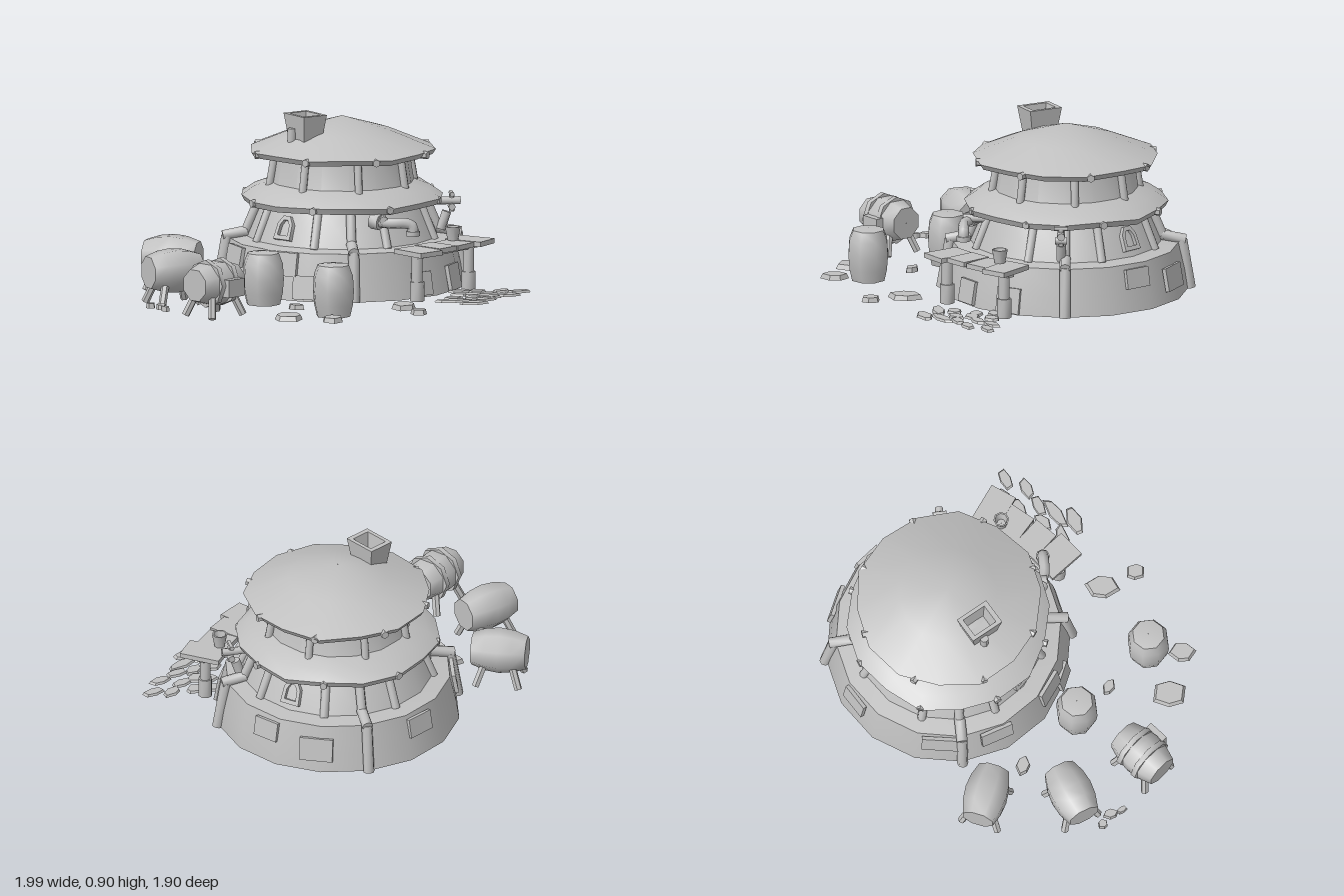
import * as THREE from 'three';
import { toCreasedNormals } from 'three/addons/utils/BufferGeometryUtils.js';

const stone = new THREE.MeshStandardMaterial({ color: 0xc0c0c0, side: THREE.DoubleSide });
stone.name = 'plain grey';
const V = (x, y, z) => new THREE.Vector3(x, y, z);

function add(parent, name, geo, crease = 0.6) {
  const m = new THREE.Mesh(toCreasedNormals(geo, crease), stone);
  m.name = name;
  parent.add(m);
  return m;
}
function group(parent, name, x = 0, y = 0, z = 0, turn = 0) {
  const g = new THREE.Group();
  g.name = name;
  g.position.set(x, y, z);
  g.rotation.y = turn;
  parent.add(g);
  return g;
}
// round bar between two points
function rod(parent, name, a, b, r, r2 = r, sides = 8) {
  const d = b.clone().sub(a);
  const m = add(parent, name, new THREE.CylinderGeometry(r2, r, d.length(), sides), 0.9);
  m.position.copy(a).addScaledVector(d, 0.5);
  m.quaternion.setFromUnitVectors(V(0, 1, 0), d.normalize());
  return m;
}
function box(parent, name, w, h, d, x, y, z, tilt = 0) {
  const m = add(parent, name, new THREE.BoxGeometry(w, h, d));
  m.position.set(x, y, z);
  m.rotation.x = tilt;
  return m;
}
const lathe = (pts, sides) =>
  new THREE.LatheGeometry(pts.map(p => new THREE.Vector2(p[0], p[1])), sides);

// roof ring whose eave wobbles from panel to panel
function roof(parent, name, pts, sides, rimStart, amount) {
  const geo = lathe(pts, sides), p = geo.attributes.position;
  for (let i = 0; i < p.count; i++) {
    const x = p.getX(i), z = p.getZ(i), r = Math.hypot(x, z);
    if (r < rimStart) continue;
    const k = Math.round((Math.atan2(x, z) / (2 * Math.PI) + 1) * sides) % sides;
    const s = 1 + amount * Math.sin(k * 2.4);
    p.setXYZ(i, x * s, p.getY(i) + 0.25 * amount * Math.cos(k * 3.7), z * s);
  }
  return add(parent, name, geo);
}

function arch(w, h) {
  const s = new THREE.Shape();
  s.moveTo(-w, -h); s.lineTo(w, -h); s.lineTo(w * 0.9, h * 0.35);
  s.lineTo(w * 0.4, h); s.lineTo(-w * 0.4, h); s.lineTo(-w * 0.9, h * 0.35);
  s.closePath();
  return s;
}

function tower(root) {
  const t = group(root, 'tower', 0.08, 0, -0.3);
  add(t, 'walls', lathe([[0.62, 0], [0.605, 0.1], [0.572, 0.24], [0.485, 0.25], [0.4, 0.45],
    [0.37, 0.5], [0.338, 0.7]], 16), 0.5);
  roof(t, 'lowerRoof', [[0.39, 0.44], [0.5, 0.425], [0.515, 0.455], [0.45, 0.5], [0.36, 0.53]], 16, 0.44, 0.02);
  roof(t, 'upperRoof', [[0.33, 0.69], [0.455, 0.668], [0.472, 0.695], [0.25, 0.785], [0.001, 0.857]], 14, 0.4, 0.02);

  // leaning ribs and beam ends under both roofs
  for (let i = 0; i < 8; i++) {
    const a = i * Math.PI / 4 + 0.13;
    const u = group(t, 'upperRib', 0, 0, 0, a);
    rod(u, 'rib', V(0, 0.49, 0.38), V(0, 0.69, 0.345), 0.02);
    rod(u, 'beamEnd', V(0.07, 0.683, 0.33), V(0.07, 0.683, 0.468), 0.02, 0.02, 6);
    const l = group(t, 'lowerRib', 0, 0, 0, a + 0.26);
    rod(l, 'rib', V(0, 0.245, 0.49), V(0, 0.45, 0.405), 0.022);
    rod(l, 'beamEnd', V(0, 0.445, 0.38), V(0, 0.445, 0.52), 0.02, 0.02, 6);
  }
  // pipes that step over the shoulder
  for (let i = 0; i < 4; i++) {
    const g = group(t, 'shoulderPipe', 0, 0, 0, i * Math.PI / 2);
    rod(g, 'lowerPipe', V(0, 0, 0.628), V(0, 0.25, 0.585), 0.028);
    rod(g, 'elbow', V(0, 0.25, 0.605), V(0, 0.275, 0.48), 0.028);
    rod(g, 'upperPipe', V(0, 0.26, 0.495), V(0, 0.45, 0.415), 0.024);
  }
  // arched windows
  for (const a of [-Math.PI / 4, Math.PI * 0.75]) {
    const g = group(t, 'window', 0, 0, 0, a), s = arch(0.052, 0.062);
    s.holes.push(new THREE.Path(arch(0.032, 0.04).getPoints().reverse()));
    const m = add(g, 'windowFrame', new THREE.ExtrudeGeometry(s, { depth: 0.03, bevelEnabled: false }));
    m.position.set(0, 0.33, 0.435);
    m.rotation.x = -0.4;
  }
  // patch plates: angle in degrees, width, height, centre height
  for (const [deg, w, h, y] of [[-24, 0.12, 0.12, 0.07], [62, 0.13, 0.13, 0.07], [36, 0.12, 0.12, 0.07],
    [-100, 0.2, 0.1, 0.18], [-72, 0.17, 0.1, 0.18], [-36, 0.16, 0.12, 0.18], [128, 0.14, 0.1, 0.17],
    [155, 0.17, 0.12, 0.12], [-150, 0.15, 0.1, 0.17]]) {
    const g = group(t, 'patch', 0, 0, 0, THREE.MathUtils.degToRad(deg));
    box(g, 'patchPlate', w, h, 0.02, 0, y, 0.622 - y * 0.19, -0.18);
  }
  // square flared chimney, hollow at the top
  const c = group(t, 'chimney', -0.2, 0.72, 0.135, 0.5);
  const f = lathe([[0.07, 0], [0.1, 0.17], [0.072, 0.17], [0.055, 0.07], [0.001, 0.07]], 4);
  f.rotateY(Math.PI / 4);
  f.scale(1, 1, 1.28);
  add(c, 'flue', f, 0.3);
  rod(c, 'sidePost', V(-0.07, 0.02, -0.02), V(-0.07, 0.1, -0.02), 0.022);
}

function spouts(root) {
  // large spout on the front
  const s = group(root, 'waterSpout');
  const path = new THREE.CatmullRomCurve3([V(0.2, 0.39, 0.17), V(0.28, 0.385, 0.21), V(0.35, 0.385, 0.215),
    V(0.385, 0.37, 0.215), V(0.388, 0.32, 0.215)]);
  add(s, 'spoutPipe', new THREE.TubeGeometry(path, 14, 0.027, 8), 0.9);
  rod(s, 'flange', V(0.185, 0.392, 0.16), V(0.225, 0.388, 0.19), 0.04);
  rod(s, 'spoutBracket', V(0.24, 0.4, 0.08), V(0.24, 0.4, 0.22), 0.022);
  rod(s, 'nozzle', V(0.388, 0.345, 0.215), V(0.388, 0.32, 0.215), 0.035);
  // small tap on the left side
  const t = group(root, 'sideTap');
  rod(t, 'tapArm', V(0.5, 0.415, -0.28), V(0.68, 0.415, -0.28), 0.02);
  rod(t, 'tapBody', V(0.635, 0.36, -0.28), V(0.635, 0.45, -0.28), 0.014);
  rod(t, 'tapHandle', V(0.635, 0.45, -0.315), V(0.635, 0.45, -0.245), 0.012);
  rod(t, 'tapCollar', V(0.635, 0.385, -0.31), V(0.635, 0.385, -0.25), 0.018);
  rod(t, 'tapSupport', V(0.58, 0.27, -0.28), V(0.61, 0.36, -0.28), 0.024);
}

function table(root) {
  const g = group(root, 'table', 0.55, 0, 0.135, Math.PI / 4);
  // planks along the edge of the tower
  const planks = [[-0.21, 0.15, 0.2], [-0.07, 0.13, 0.17], [0.07, 0.14, 0.16], [0.2, 0.14, 0.21]];
  planks.forEach(([x, w, d], i) => {
    box(g, 'plank', w, 0.025, d, x, 0.25 + 0.003 * (i % 2), 0.01).rotation.y = (i - 1.5) * 0.1;
  });
  box(g, 'tableBeam', 0.48, 0.025, 0.04, 0, 0.23, 0.01);
  for (const x of [-0.22, 0.19]) {
    rod(g, 'tableLeg', V(x, 0, 0.01), V(x, 0.24, 0.01), 0.028);
    rod(g, 'legFoot', V(x, 0, 0.01), V(x, 0.1, 0.01), 0.036);
  }
  const cup = add(root, 'cup', lathe([[0.001, 0], [0.027, 0], [0.04, 0.07], [0.032, 0.07], [0.022, 0.015], [0.001, 0.015]], 8), 0.9);
  cup.position.set(0.61, 0.264, 0.03);
}

const barrelProfile = [[0.001, 0], [0.088, 0], [0.102, 0.06], [0.108, 0.13], [0.103, 0.21], [0.082, 0.262], [0.001, 0.272]];

function barrels(root) {
  for (const [x, z] of [[-0.38, 0.3], [-0.065, 0.7]]) {
    const b = add(root, 'standingBarrel', lathe(barrelProfile, 8), 0.9);
    b.position.set(x, 0, z);
    b.rotation.y = 0.4;
  }
  // barrels lying on splayed legs
  [[-0.79, -0.21, -0.42], [-0.83, 0.22, 0.36], [-0.66, 0.6, 0.68]].forEach(([x, z, turn], i) => {
    const g = group(root, 'lyingBarrel', x, 0, z, turn);
    const geo = lathe([[0.001, -0.14], [0.085, -0.14], [0.108, -0.07], [0.116, 0], [0.108, 0.07], [0.085, 0.14], [0.001, 0.14]], 8);
    geo.rotateY(Math.PI / 8);
    geo.rotateZ(Math.PI / 2);
    add(g, 'barrelBody', geo, 0.9).position.y = 0.165;
    for (const sx of [-1, 1]) for (const sz of [-1, 1])
      rod(g, 'barrelLeg', V(sx * 0.11, 0, sz * 0.095), V(sx * 0.075, 0.1, sz * 0.06), 0.02, 0.02, 6);
    if (i === 2) for (const sx of [-0.05, 0.05])
      rod(g, 'strap', V(sx - 0.014, 0.165, 0), V(sx + 0.014, 0.165, 0), 0.122);
    if (i === 2) box(g, 'pouch', 0.11, 0.09, 0.05, 0.02, 0.15, 0.115);
  });
}

// flat irregular slab
function slab(root, name, x, z, rx, rz, h, turn, seed) {
  const geo = new THREE.CylinderGeometry(0.85, 1, h, 6), p = geo.attributes.position;
  for (let i = 0; i < p.count; i++) {
    const k = Math.round(Math.atan2(p.getX(i), p.getZ(i)) * 3 / Math.PI + 6) % 6;
    const s = 0.95 + 0.17 * Math.sin(k * 2.1 + seed * 1.7);
    p.setXYZ(i, p.getX(i) * s * rx, p.getY(i) + h / 2, p.getZ(i) * s * rz);
  }
  const m = add(root, name, geo, 0.3);
  m.position.set(x, 0, z);
  m.rotation.y = turn;
}

function ground(root) {
  [[-0.6, 0, 0.055, 0.04], [-0.96, 0.365, 0.03, 0.025], [-0.91, 0.41, 0.04, 0.03], [-0.895, 0.47, 0.028, 0.02],
    [-0.23, 0.48, 0.05, 0.03], [-0.3, 0.78, 0.09, 0.085], [-0.085, 0.87, 0.065, 0.065], [0.31, 0.51, 0.085, 0.075],
    [0.37, 0.685, 0.055, 0.045]].forEach(([x, z, a, b], i) => slab(root, 'looseStone', x, z, a, b, 0.025, i * 0.7, i));
  [[0.64, 0.06], [0.73, 0.07], [0.85, 0.07], [0.94, 0.09], [0.64, 0.15], [0.7, 0.17], [0.78, 0.14], [0.88, 0.19],
    [0.59, 0.26], [0.69, 0.25], [0.78, 0.24], [0.58, 0.34], [0.68, 0.41], [0.73, 0.32]]
    .forEach(([x, z], i) => slab(root, 'pavingSlab', x, z, i > 10 ? 0.1 : 0.06, 0.037, 0.012, 0.35 + 0.15 * Math.sin(i), i));
}

export function createModel() {
  const root = new THREE.Group();
  root.name = 'roundTowerHouse';
  [tower, spouts, table, barrels, ground].forEach(build => build(root));
  return root;
}
